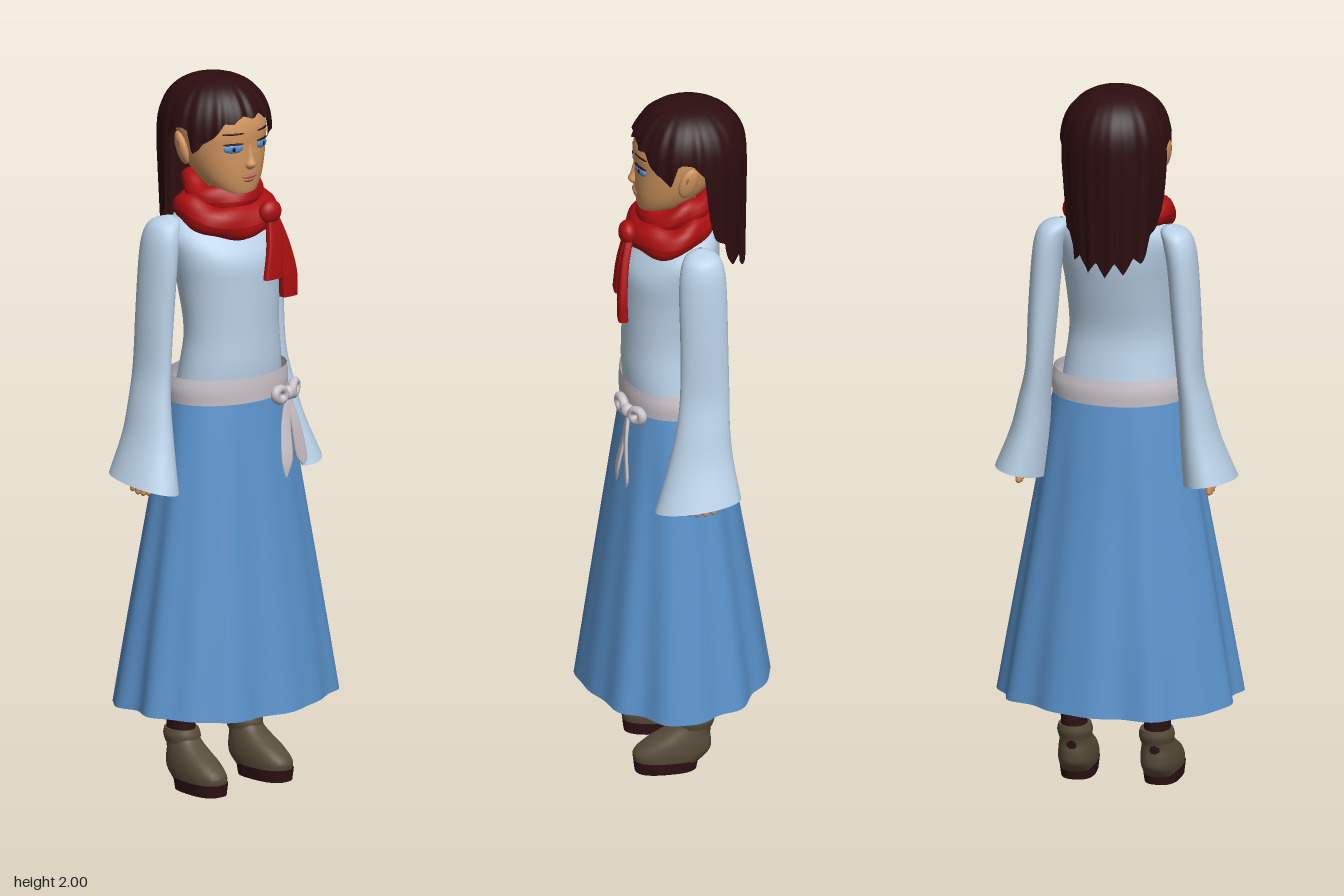
import * as THREE from 'three';

const mat = (name, color, open) => {
  const m = new THREE.MeshStandardMaterial({ color });
  m.name = name;
  if (open) m.side = THREE.DoubleSide;
  return m;
};

// Closed-around surface: f(v, a) gives a point, v runs upward, a = 0 is the front
function grid(rows, cols, f, capped = false) {
  const pos = [], idx = [];
  for (let i = 0; i <= rows; i++)
    for (let j = 0; j < cols; j++) pos.push(...f(i / rows, (j / cols) * Math.PI * 2));
  for (let i = 0; i < rows; i++)
    for (let j = 0; j < cols; j++) {
      const k = (j + 1) % cols, a = i * cols + j, b = i * cols + k;
      idx.push(a, b, b + cols, a, b + cols, a + cols);
    }
  if (capped) [0, 1].forEach(v => {
    const start = pos.length / 3, mid = new THREE.Vector3();
    for (let j = 0; j < cols; j++) {
      const p = f(v, (j / cols) * Math.PI * 2);
      pos.push(...p);
      mid.add(new THREE.Vector3(...p));
    }
    pos.push(...mid.divideScalar(cols).toArray());
    for (let j = 0; j < cols; j++) {
      const a = start + j, b = start + (j + 1) % cols, c = start + cols;
      v ? idx.push(a, b, c) : idx.push(b, a, c);
    }
  });
  const g = new THREE.BufferGeometry();
  g.setAttribute('position', new THREE.Float32BufferAttribute(pos, 3));
  g.setIndex(idx);
  g.computeVertexNormals();
  return g;
}

// Smooth loft through rings [y, centreX, centreZ, radiusX, radiusZ], bottom to top
function loft(rings, { cols = 32, steps = 4, capped = true, power = 1, warp } = {}) {
  const V = (x, y, z) => new THREE.Vector3(x, y, z);
  const path = new THREE.CatmullRomCurve3(rings.map(r => V(r[1], r[0], r[2])), false, 'catmullrom');
  const size = new THREE.CatmullRomCurve3(rings.map(r => V(r[3], r[4], 0)), false, 'catmullrom');
  const bend = n => Math.sign(n) * Math.abs(n) ** power;
  return grid((rings.length - 1) * steps, cols, (v, a) => {
    const c = path.getPoint(v), s = size.getPoint(v);
    const p = [c.x + s.x * bend(Math.sin(a)), c.y, c.z + s.y * bend(Math.cos(a))];
    return warp ? warp(p, v, a) : p;
  }, capped);
}

export function createModel() {
  const model = new THREE.Group();
  const skin = mat('skin', 0xd2965f), hair = mat('dark brown hair', 0x2c0d0f, true);
  const shirt = mat('pale blue cloth', 0xbcd3e9, true), skirt = mat('blue cloth', 0x5a92cb, true);
  const sash = mat('grey white sash', 0xcbc4ca, true), red = mat('red wool', 0xab0f10);
  const boot = mat('olive brown leather', 0x574b39), stocking = mat('dark brown stocking', 0x2e1113);
  const blue = mat('blue iris', 0x4b8fd4), lip = mat('lips', 0xb06a50);

  const add = (name, geo, m, x = 0, y = 0, z = 0, parent = model) => {
    const mesh = new THREE.Mesh(geo, m);
    mesh.name = name;
    mesh.position.set(x, y, z);
    parent.add(mesh);
    return mesh;
  };
  const ball = (name, m, [x, y, z], [sx, sy, sz], parent) => {
    const mesh = add(name, new THREE.SphereGeometry(1, 20, 14), m, x, y, z, parent);
    mesh.scale.set(sx, sy, sz);
    return mesh;
  };

  // Torso and neck
  add('torso', loft([
    [1.1, 0, 0, .168, .122], [1.2, 0, .015, .155, .118], [1.3, 0, .02, .144, .112], [1.42, 0, .008, .152, .124],
    [1.51, 0, -.004, .165, .13], [1.575, 0, -.03, .168, .105], [1.615, 0, -.05, .13, .08], [1.65, 0, -.05, .07, .055],
  ]), shirt);
  add('neck', loft([[1.6, 0, -.04, .06, .055], [1.76, 0, -.02, .05, .05]]), skin);

  // Skirt with folds that deepen toward the hem
  add('skirt', loft([
    [.25, 0, -.003, .335, .26], [.5, 0, -.002, .293, .225], [.8, 0, 0, .24, .18], [1, 0, 0, .206, .15], [1.13, 0, 0, .181, .129],
  ], {
    cols: 120, steps: 8, capped: false,
    warp: ([x, y, z], v, a) => {
      const d = 1 - v, k = 1 + d * (.025 * Math.sin(9 * a + .6) + .018 * Math.sin(14 * a + 2) + .012 * Math.sin(5 * a));
      return [x * k, y + .006 * d * Math.sin(3 * a), z * k * (z < 0 ? 1 + .02 * d : 1)];
    },
  }), skirt);

  // Sash with a bow on the left hip
  add('sash', loft([[1.108, 0, 0, .187, .138], [1.145, 0, 0, .19, .139], [1.18, 0, .002, .184, .135]],
    { cols: 48, capped: false }), sash);
  const bow = new THREE.Group();
  bow.name = 'bow';
  model.add(bow);
  ball('bowKnot', sash, [.11, 1.11, .13], [.017, .02, .018], bow);
  for (const s of [-1, 1]) {
    const loop = add('bowLoop', new THREE.TorusGeometry(.02, .013, 10, 24), sash, .11 + s * .04, 1.113, .125 - s * .016, bow);
    loop.scale.set(1.1, .85, 1);
    loop.rotation.set(0, s > 0 ? .6 : .25, s * .3);
    add('bowTail', loft([
      [.89 + s * .01, .118 + s * .04, .148 - s * .008, .004, .003], [.93, .118 + s * .033, .146 - s * .008, .02, .005],
      [1.02, .112 + s * .018, .138, .017, .005], [1.1, .11, .128, .01, .006],
    ], { cols: 12, power: .6 }), sash, 0, 0, 0, bow);
  }

  for (const s of [-1, 1]) {
    // Flared sleeve, open at the cuff
    add('sleeve', loft([
      [.885, s * .263, -.045, .073, .119], [1, s * .239, -.056, .055, .09], [1.1, s * .225, -.064, .044, .074],
      [1.2, s * .211, -.07, .036, .068], [1.35, s * .201, -.07, .04, .066], [1.5, s * .19, -.068, .042, .066],
      [1.57, s * .179, -.068, .043, .06], [1.606, s * .165, -.068, .036, .044], [1.622, s * .15, -.066, .004, .005],
    ], {
      cols: 40, capped: false,
      warp: ([x, y, z], v, a) => [x, y + Math.max(0, 1 - v * 6) * (.012 * s * Math.sin(a) - .014 * Math.cos(a)), z],
    }), shirt);

    // Forearm and hand
    const hand = new THREE.Group();
    hand.name = 'hand';
    model.add(hand);
    add('forearm', loft([[.93, s * .258, -.052, .018, .024], [1.15, s * .222, -.068, .026, .034]]), skin, 0, 0, 0, hand);
    ball('palm', skin, [s * .264, .91, -.052], [.017, .04, .036], hand);
    for (let i = 0; i < 4; i++) {
      const finger = add('finger', new THREE.CapsuleGeometry(.0085, .035, 4, 8), skin, s * .266, .874 + Math.abs(i - 1.5) * .004, -.026 - i * .019, hand);
      finger.rotation.x = (i - 1.5) * .14;
    }
    add('thumb', new THREE.CapsuleGeometry(.009, .03, 4, 8), skin, s * .256, .897, -.014, hand).rotation.x = -.5;

    // Leg, ankle boot and sole
    add('leg', loft([[.1, s * .115, -.055, .036, .042], [.25, s * .117, -.056, .038, .046], [.5, s * .112, -.04, .055, .06],
      [.95, s * .085, -.01, .07, .075]]), stocking);
    const foot = new THREE.Group();
    foot.name = 'foot';
    foot.position.set(s * .117, 0, 0);
    foot.rotation.y = s * .05;
    model.add(foot);
    add('sole', loft([[0, 0, .027, .048, .085], [.034, 0, .026, .052, .09]], { power: .75, steps: 1 }), stocking, 0, 0, 0, foot);
    add('boot', loft([
      [.026, 0, .023, .05, .091], [.055, 0, .01, .053, .106], [.085, 0, -.008, .051, .091], [.11, 0, -.028, .046, .068],
      [.135, 0, -.048, .041, .052], [.155, 0, -.054, .042, .049],
    ], { power: .85 }), boot, 0, 0, 0, foot);
    add('bootCuff', loft([[.128, 0, -.052, .045, .052], [.148, 0, -.055, .049, .055], [.166, 0, -.057, .045, .051]]), boot, 0, 0, 0, foot);
  }

  // Scarf: two wrapped loops, a knot and two hanging ends
  const wrap = (name, y, z, rx, rz, r, tall, tilt, phase) => add(name, grid(20, 64, (v, a) => {
    const t = -v * Math.PI * 2, k = r * (1 + .1 * Math.sin(5 * a + phase + 2 * t));
    const h = Math.sin(t) * k * tall, w = Math.cos(t) * k, zz = (rz + w) * Math.cos(a);
    return [(rx + w) * Math.sin(a), y - h - zz * tilt + .006 * Math.sin(3 * a + phase), z + zz];
  }), red);
  wrap('scarfLowerLoop', 1.63, 0, .118, .088, .038, 1.15, .2, 0);
  wrap('scarfUpperLoop', 1.685, -.015, .088, .076, .03, 1.2, .22, 2);
  const knot = ball('scarfKnot', red, [.05, 1.632, .122], [.036, .034, .026]);
  knot.rotation.z = .3;
  add('scarfShortEnd', loft([[1.45, .035, .15, .03, .01], [1.54, .05, .142, .026, .011], [1.63, .055, .122, .018, .012]],
    { cols: 20, power: .5 }), red).rotation.y = 0;
  add('scarfLongEnd', loft([[1.39, .1, .142, .026, .014], [1.46, .096, .143, .029, .013], [1.55, .075, .135, .027, .012],
    [1.63, .056, .118, .018, .012]], { cols: 20, power: .5 }), red);

  // Head and face
  add('head', loft([
    [1.672, 0, .05, .028, .026], [1.69, 0, .034, .058, .055], [1.725, 0, .012, .086, .083], [1.77, 0, -.008, .105, .106],
    [1.82, 0, -.018, .116, .116], [1.87, 0, -.025, .119, .125], [1.92, 0, -.035, .108, .117], [1.96, 0, -.045, .07, .08],
  ], { cols: 40, power: .92 }), skin);
  add('nose', loft([[1.757, 0, .096, .008, .006], [1.77, 0, .098, .017, .017], [1.79, 0, .094, .011, .014], [1.83, 0, .09, .007, .008]],
    { cols: 16 }), skin);
  ball('upperLip', lip, [0, 1.737, .094], [.026, .006, .009]);
  ball('lowerLip', lip, [0, 1.727, .091], [.021, .007, .009]);
  for (const s of [-1, 1]) {
    const eye = new THREE.Group();
    eye.name = 'eye';
    eye.position.set(s * .052, 1.82, .086);
    eye.rotation.y = s * .4;
    model.add(eye);
    ball('iris', blue, [0, 0, 0], [.028, .0125, .007], eye);
    ball('pupil', hair, [0, 0, .005], [.006, .007, .003], eye);
    ball('lashes', hair, [0, .013, .001], [.03, .003, .007], eye);
    ball('eyebrow', hair, [0, .042, -.001], [.032, .004, .007], eye);
    const ear = ball('ear', skin, [s * .133, 1.815, -.035], [.014, .048, .027]);
    ear.rotation.set(-.2, s * .35, -s * .15);
    ball('innerEar', lip, [s * .142, 1.822, -.031], [.007, .026, .012]).rotation.copy(ear.rotation);
  }

  // Hair shell: [degrees from the front, height of the lower edge]
  const hem = [[0, 1.905], [18, 1.9], [32, 1.885], [46, 1.855], [60, 1.815], [67, 1.81], [74, 1.865], [90, 1.875],
    [100, 1.83], [106, 1.7], [116, 1.64], [130, 1.57], [150, 1.54], [180, 1.53]];
  const hemAt = d => {
    const i = Math.max(1, hem.findIndex(h => h[0] >= d)), [d0, y0] = hem[i - 1], [d1, y1] = hem[i];
    return y0 + (y1 - y0) * (d - d0) / (d1 - d0);
  };
  add('hair', grid(28, 180, (v, a) => {
    const d = Math.min(180, Math.abs((a > Math.PI ? a - 2 * Math.PI : a) * 180 / Math.PI));
    const jag = Math.abs(((a * 16 / Math.PI) % 2) - 1) * (d > 106 ? .04 : .014);
    const y = 2 - (2 - hemAt(d) + jag - .01) * (1 - v) ** 1.8;
    const u = Math.max(0, (y - 1.84) / .16), low = Math.max(0, 1.8 - y);
    const dome = (1 - Math.min(1, u) ** 2.4) ** (1 / 2.4);
    const lock = 1 + (1 - v) * (.018 * Math.sin(16 * a) + .012 * Math.sin(27 * a + 1));
    return [.151 * dome * lock * (1 - low * .5) * Math.sin(a), y, -.05 + .162 * dome * lock * (1 - low * .12) * Math.cos(a)];
  }), hair);

  return model;
}
